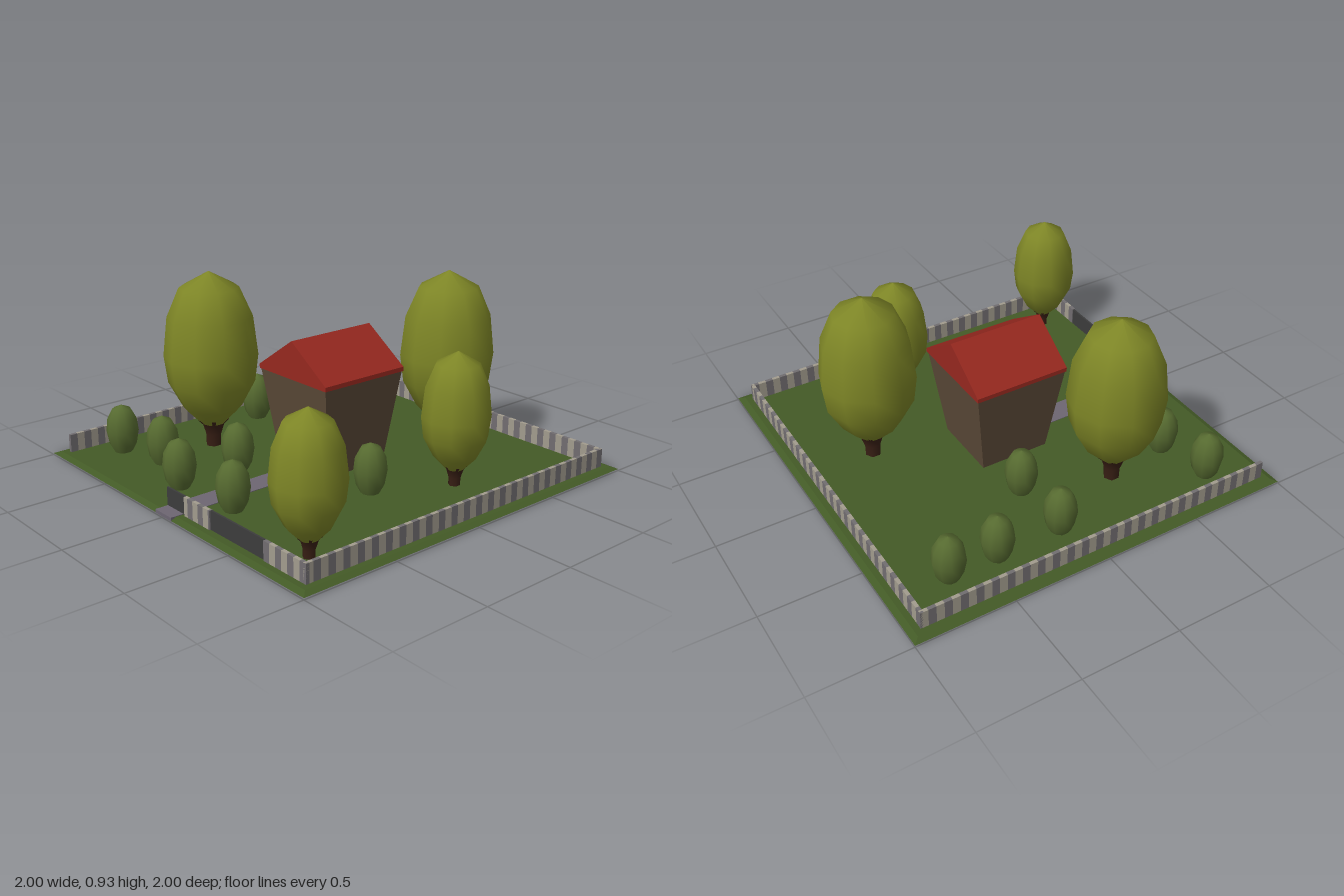
import * as THREE from 'three';

const mat = (color, flatShading = false) =>
  new THREE.MeshStandardMaterial({ color, flatShading, side: THREE.DoubleSide });

const M = {
  grass: mat(0x435a26, true), path: mat(0x6d6672), gate: mat(0x3c3c3c),
  slatLight: mat(0xa29c8e), slatDark: mat(0x716d70),
  wall: mat(0x5c4a38, true), roof: mat(0x96281f, true),
  crown: mat(0x7d8526), trunk: mat(0x3a2015), bush: mat(0x566a30),
};

function add(parent, name, geometry, material, x = 0, y = 0, z = 0) {
  const mesh = new THREE.Mesh(geometry, material);
  mesh.name = name;
  mesh.position.set(x, y, z);
  parent.add(mesh);
  return mesh;
}

// Square block whose half widths differ at top and bottom
function taperedBlock(top, bottom, y0, y1) {
  const g = new THREE.CylinderGeometry(top * Math.SQRT2, bottom * Math.SQRT2, y1 - y0, 4);
  g.rotateY(Math.PI / 4);
  g.translate(0, (y0 + y1) / 2, 0);
  return g;
}

const lathe = (points, sides) =>
  new THREE.LatheGeometry(points.map(([r, y]) => new THREE.Vector2(r, y)), sides);

const FENCE = 0.94, FENCE_H = 0.112, THICK = 0.018, SLATS = 48;

// One side of the fence: alternating slats, leaving out the given gaps
function fenceSide(name, gaps = []) {
  const side = new THREE.Group();
  side.name = name;
  const step = (2 * FENCE) / SLATS;
  let runs = [[-FENCE, FENCE]];
  for (const [a, b] of gaps) runs = runs.flatMap(([s, e]) => [[s, a], [b, e]].filter(([p, q]) => q > p && p >= s && q <= e));
  for (const [s, e] of runs) {
    for (let i = 0; i < SLATS; i++) {
      const a = Math.max(s, -FENCE + i * step), b = Math.min(e, -FENCE + (i + 1) * step);
      if (b - a < 0.001) continue;
      add(side, 'fenceSlat', new THREE.BoxGeometry(b - a, FENCE_H, THICK),
        i % 2 ? M.slatDark : M.slatLight, (a + b) / 2, FENCE_H / 2, FENCE - THICK / 2);
    }
  }
  return side;
}

const crownGeo = lathe([[0.06, 0.14], [0.15, 0.23], [0.22, 0.36], [0.238, 0.5],
  [0.215, 0.7], [0.15, 0.85], [0, 0.932]], 10);
const trunkGeo = lathe([[0.04, 0], [0.042, 0.08], [0.062, 0.14], [0.09, 0.168]], 6);
const bushGeo = lathe([[0.035, 0], [0.068, 0.06], [0.081, 0.13], [0.073, 0.195],
  [0.046, 0.245], [0, 0.266]], 10);

function tree(x, z, width, height) {
  const t = new THREE.Group();
  t.name = 'tree';
  add(t, 'trunk', trunkGeo, M.trunk);
  add(t, 'crown', crownGeo, M.crown);
  t.position.set(x, 0, z);
  t.scale.set(width, height, width);
  return t;
}

export function createModel() {
  const model = new THREE.Group();
  model.name = 'garden';

  // Lawn with sloping rim, and the path to the house
  add(model, 'lawn', taperedBlock(0.97, 1, 0.008, 0.02), M.grass);
  add(model, 'path', new THREE.BoxGeometry(0.125, 0.017, 0.8), M.path, 0.01, 0.0145, 0.6);

  // Fence on four sides with two gates in the front
  const gates = [[-0.055, 0.09], [0.285, 0.665]];
  ['frontFence', 'leftFence', 'backFence', 'rightFence'].forEach((name, i) => {
    const side = fenceSide(name, i === 0 ? gates : []);
    side.rotation.y = (i * Math.PI) / 2;
    model.add(side);
  });
  for (const [a, b] of gates) {
    add(model, 'gate', new THREE.BoxGeometry(b - a, FENCE_H, 0.01), M.gate,
      (a + b) / 2, FENCE_H / 2, 0.928);
  }

  // House: walls leaning outwards under a gabled roof
  const house = new THREE.Group();
  house.name = 'house';
  add(house, 'walls', taperedBlock(0.243, 0.178, 0, 0.49), M.wall);
  const gable = new THREE.Shape([[-0.248, 0.488], [0.248, 0.488], [0.248, 0.51],
    [0, 0.678], [-0.248, 0.51]].map(([x, y]) => new THREE.Vector2(x, y)));
  add(house, 'roof', new THREE.ExtrudeGeometry(gable, { depth: 0.496, bevelEnabled: false }),
    M.roof, 0, 0, -0.248);
  model.add(house);

  // Two large and two small trees
  for (const [x, z, w, h] of [[-0.55, 0.325, 1, 1], [0.21, -0.59, 1, 1],
    [0.625, -0.23, 0.7, 0.73], [0.76, 0.775, 0.7, 0.73]]) model.add(tree(x, z, w, h));

  // Bushes
  for (const [x, z] of [[-0.74, -0.69], [-0.74, -0.44], [-0.735, -0.1], [-0.415, -0.11],
    [0.43, 0.13], [-0.19, 0.435], [0.185, 0.44], [-0.195, 0.77], [0.18, 0.735],
    [-0.505, 0.66], [-0.775, 0.725]]) add(model, 'bush', bushGeo, M.bush, x, 0, z);

  return model;
}
